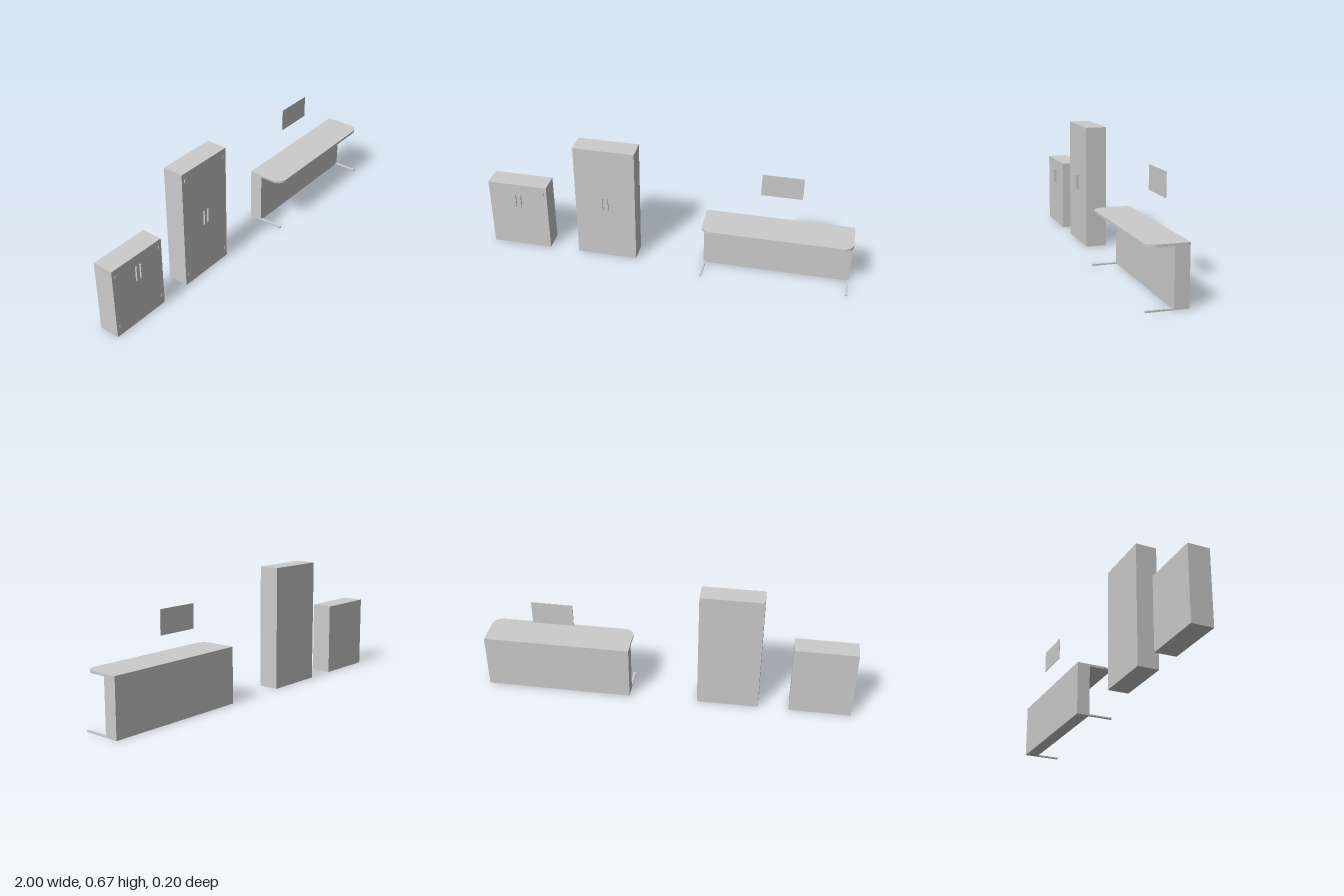
import * as THREE from 'three';

const grey = new THREE.MeshStandardMaterial({ color: 0xcccccc });

// Box given by its min and max corners
function box(name, [x0, y0, z0], [x1, y1, z1]) {
  const geo = new THREE.BoxGeometry(x1 - x0, y1 - y0, z1 - z0);
  const mesh = new THREE.Mesh(geo, grey);
  mesh.position.set((x0 + x1) / 2, (y0 + y1) / 2, (z0 + z1) / 2);
  mesh.name = name;
  return mesh;
}

// Cabinet with paired bar handles and four small hinges on its front
function cabinet(name, cx, height, handleY) {
  const g = new THREE.Group();
  g.name = name;
  const front = 0.02;
  g.add(box('carcass', [-0.166, 0, -0.094], [0.166, height, front]));
  for (const s of [-1, 1]) {
    const hx = s * 0.0145;
    g.add(box('handle', [hx - 0.003, handleY, front], [hx + 0.003, handleY + 0.08, 0.03]));
    for (const y of [0.057, height - 0.041]) {
      const x = s * 0.146;
      g.add(box('hinge', [x - 0.003, y - 0.0075, front], [x + 0.003, y + 0.0075, 0.024]));
    }
  }
  g.position.x = cx;
  return g;
}

// Counter: closed body, overhanging top with rounded front corners, two slim feet
function counter() {
  const g = new THREE.Group();
  g.name = 'counter';
  const w = 0.398, back = -0.102, front = 0.103, r = 0.055;
  g.add(box('counterBody', [-w, 0, back], [w, 0.29, -0.03]));

  // Outline in x and -z, extruded upwards
  const s = new THREE.Shape();
  s.moveTo(w, -back);
  s.lineTo(-w, -back);
  s.lineTo(-w, -front + r);
  s.absarc(-w + r, -front + r, r, Math.PI, Math.PI * 1.5, false);
  s.lineTo(w - r, -front);
  s.absarc(w - r, -front + r, r, -Math.PI / 2, 0, false);
  s.closePath();
  const geo = new THREE.ExtrudeGeometry(s, { depth: 0.013, bevelEnabled: false, curveSegments: 10 });
  geo.rotateX(-Math.PI / 2);
  const top = new THREE.Mesh(geo, grey);
  top.position.y = 0.289;
  top.name = 'counterTop';
  g.add(top);

  for (const side of [-1, 1]) {
    const a = side * w, b = side * (w - 0.013);
    g.add(box('foot', [Math.min(a, b), 0, -0.03], [Math.max(a, b), 0.008, front]));
  }
  g.position.x = 0.602;
  return g;
}

export function createModel() {
  const model = new THREE.Group();
  model.name = 'furnitureSet';
  model.add(
    cabinet('lowCabinet', -0.834, 0.395, 0.255),
    cabinet('tallCabinet', -0.335, 0.67, 0.303),
    counter(),
    box('wallPanel', [0.491, 0.44, -0.102], [0.711, 0.565, -0.098]),
  );
  return model;
}
